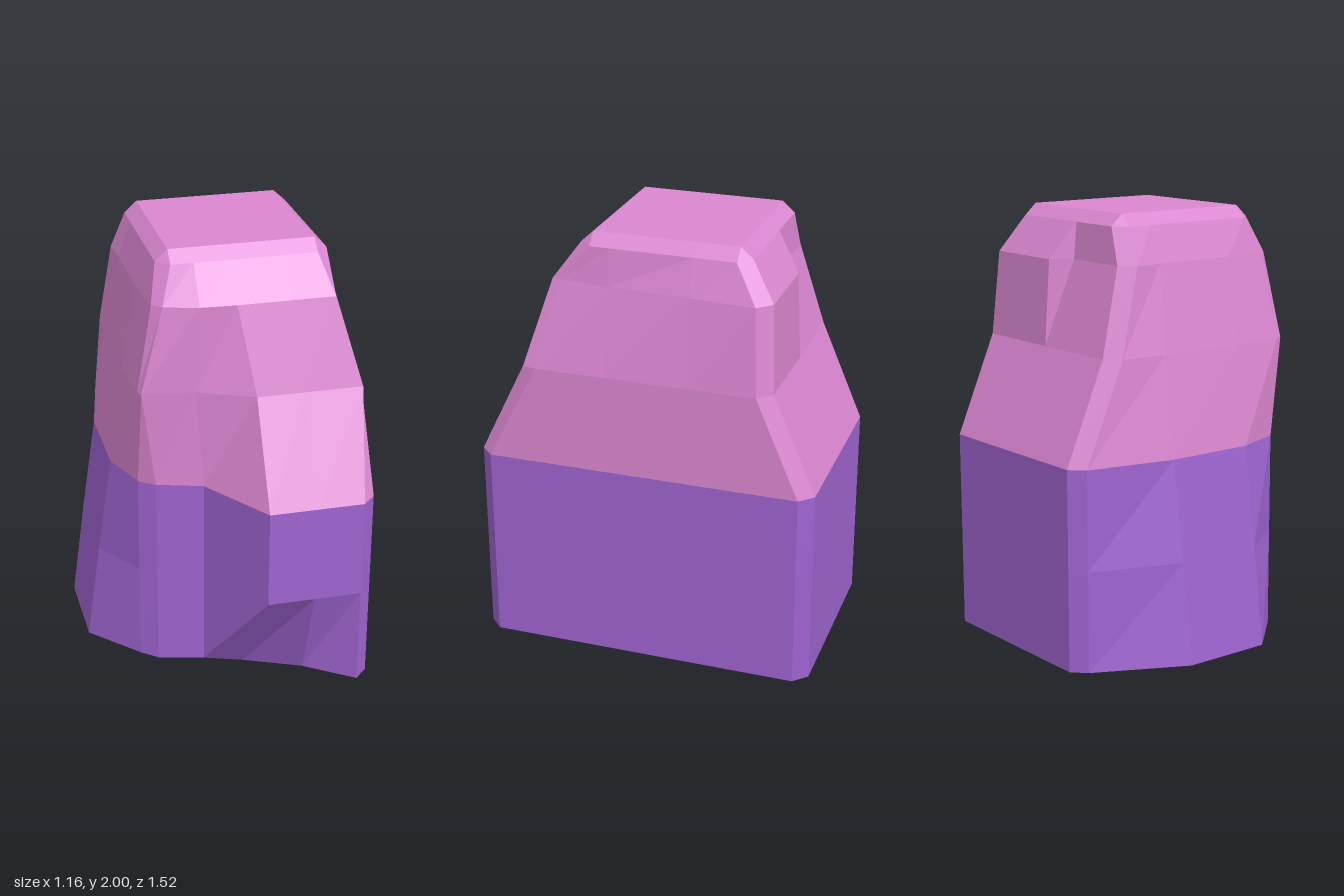
import * as THREE from 'three';

const pink = new THREE.MeshStandardMaterial({ color: 0xdb87d1, flatShading: true, side: THREE.DoubleSide });
pink.name = 'pink stone';
const purple = new THREE.MeshStandardMaterial({ color: 0x9e64d0, flatShading: true, side: THREE.DoubleSide });
purple.name = 'purple stone';

// Plan outlines as [x, z], running right side, front, left side, back
const waist = [
  [.58, -.70], [.58, -.20], [.58, .16], [.58, .70],
  [.52, .76], [.31, .76], [.10, .76], [-.11, .44], [-.31, .38],
  [-.38, .33], [-.46, .11], [-.46, -.30], [-.38, -.70],
  [-.32, -.76], [-.11, -.76], [.10, -.76], [.52, -.76],
];
const chest = [
  [.58, -.51], [.58, -.20], [.58, .16], [.58, .47],
  [.57, .53], [.31, .53], [.10, .53], [-.14, .42], [-.37, .39],
  [-.38, .36], [-.40, .11], [-.40, -.30], [-.38, -.51],
  [-.32, -.57], [-.11, -.57], [.10, -.57], [.52, -.57],
];
const shoulder = [
  [.54, -.49], [.52, -.20], [.50, .16], [.48, .38],
  [.47, .42], [.28, .42], [.04, .42], [-.12, .41], [-.27, .37],
  [-.31, .33], [-.33, .11], [-.33, -.27], [-.34, -.40],
  [-.28, -.46], [.03, -.46], [.09, -.55], [.48, -.55],
];

// Turns an outline into a ring at height y, with some points replaced
function ring(outline, y, changes = {}) {
  return outline.map(([x, z], i) => {
    const [cx, cz, cy = y] = changes[i] || [x, z];
    return [cx, cy, cz];
  });
}

// Square top edge, pushed outward on each side by a small bevel
function topRing(y, bevel) {
  const clamp = THREE.MathUtils.clamp;
  return shoulder.map(([x, z], i) => {
    let px = clamp(x, -.22, .42), pz = clamp(z, -.39, .25);
    if (i < 4) px = .42 + bevel;
    else if (i < 9) pz = .25 + bevel;
    else if (i < 13) px = -.22 - bevel;
    else pz = -.39 - bevel;
    return [px, y, pz];
  });
}

// Joins a stack of rings, bottom to top, into a faceted skin
function skin(rings, capped) {
  const pos = [];
  for (let r = 0; r < rings.length - 1; r++) {
    const lo = rings[r], hi = rings[r + 1];
    lo.forEach((a, i) => {
      const j = (i + 1) % lo.length;
      pos.push(...a, ...hi[i], ...lo[j], ...lo[j], ...hi[i], ...hi[j]);
    });
  }
  if (capped) {
    const top = rings[rings.length - 1];
    top.forEach((a, i) => pos.push(.10, a[1], -.07, ...top[(i + 1) % top.length], ...a));
  }
  const g = new THREE.BufferGeometry();
  g.setAttribute('position', new THREE.Float32BufferAttribute(pos, 3));
  g.computeVertexNormals();
  return g;
}

export function createModel() {
  const group = new THREE.Group();
  group.name = 'rockPillar';

  // Open-bottomed base with an undercut front ledge and a flared left side
  const foot = ring(waist, .07, {
    5: [.31, .61], 6: [.085, .40, 0], 8: [-.31, .39], 10: [-.585, .11], 11: [-.585, -.30],
  });
  const knee = ring(waist, .52, { 10: [-.525, .11], 11: [-.525, -.30] });
  const base = new THREE.Mesh(skin([foot, knee, ring(waist, .965)], false), purple);
  base.name = 'lowerRock';

  // Tapering upper part with a flat bevelled top
  const upper = new THREE.Mesh(skin([
    ring(waist, .965), ring(chest, 1.41), ring(shoulder, 1.79), topRing(1.95, .055), topRing(2, 0),
  ], true), pink);
  upper.name = 'upperRock';

  group.add(base, upper);
  return group;
}
